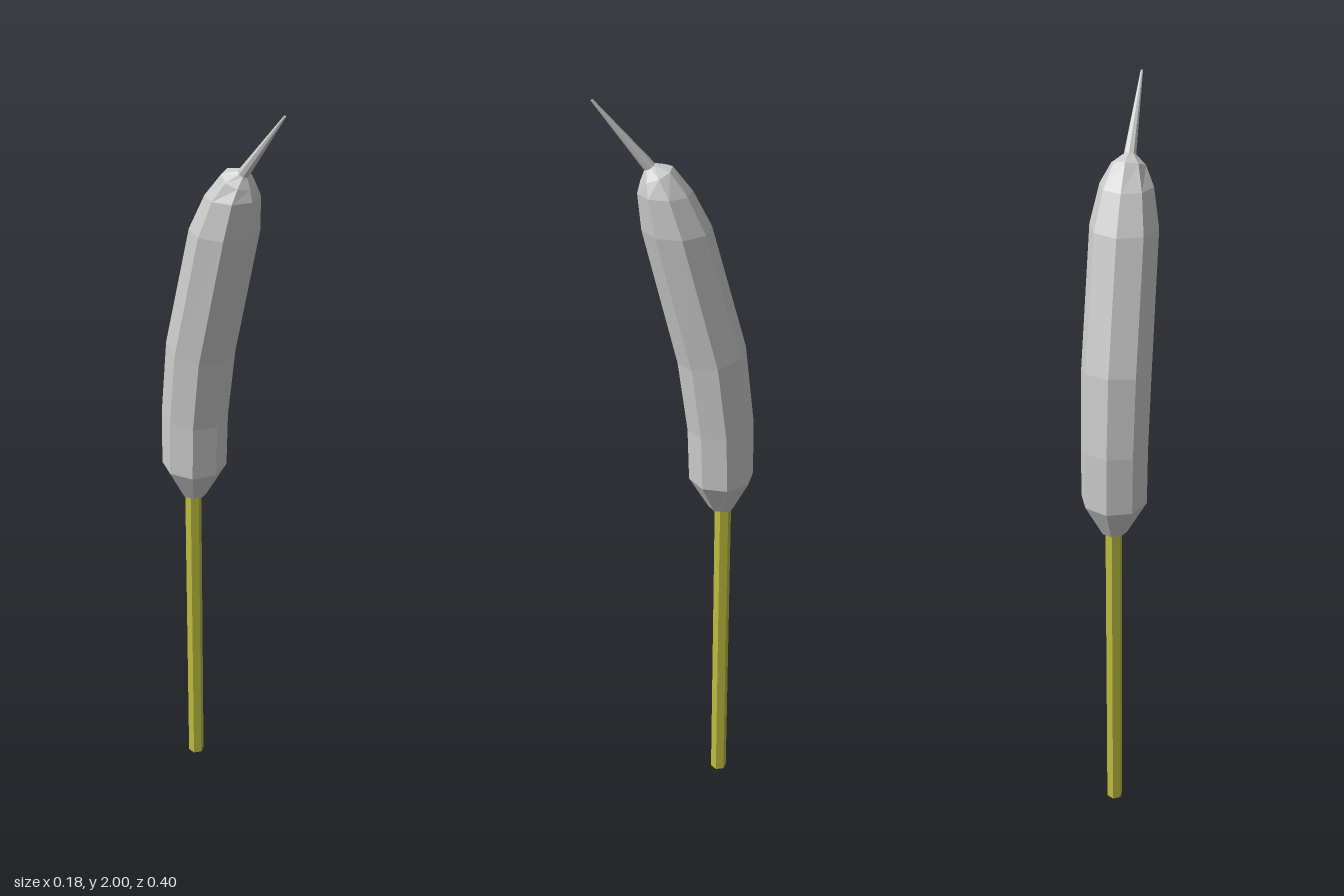
import * as THREE from 'three';

const SIDES = 8;

// Skin of flat facets through rings: [y, z, radius, tilt towards the front]
function loft(rings) {
  const pos = [];
  const point = ([y, z, r, tilt], i) => {
    const a = (i / SIDES) * Math.PI * 2;
    const d = r * Math.cos(a);
    return [r * Math.sin(a), y - d * Math.sin(tilt), z + d * Math.cos(tilt)];
  };
  const first = rings[0], last = rings[rings.length - 1];
  for (let i = 0; i < SIDES; i++) {
    for (let k = 0; k < rings.length - 1; k++) {
      const a = point(rings[k], i), b = point(rings[k], i + 1);
      const c = point(rings[k + 1], i + 1), d = point(rings[k + 1], i);
      pos.push(...a, ...b, ...c, ...a, ...c, ...d);
    }
    // End caps
    pos.push(0, first[0], first[1], ...point(first, i + 1), ...point(first, i));
    pos.push(0, last[0], last[1], ...point(last, i), ...point(last, i + 1));
  }
  const geometry = new THREE.BufferGeometry();
  geometry.setAttribute('position', new THREE.Float32BufferAttribute(pos, 3));
  geometry.computeVertexNormals();
  return geometry;
}

export function createModel() {
  const group = new THREE.Group();
  group.name = 'cattail';
  const grey = new THREE.MeshStandardMaterial({ color: 0xcccccc, flatShading: true });
  const olive = new THREE.MeshStandardMaterial({ color: 0xbdbd40, flatShading: true });

  // Straight six-sided stalk
  const stalk = new THREE.Mesh(new THREE.CylinderGeometry(0.022, 0.022, 0.9, 6), olive);
  stalk.name = 'stalk';
  stalk.position.set(0, 0.45, -0.121);
  group.add(stalk);

  // Seed head that bends forward as it rises
  const head = new THREE.Mesh(loft([
    [0.895, -0.117, 0.034, 0],
    [0.988, -0.115, 0.085, 0.02],
    [1.14, -0.111, 0.086, 0.08],
    [1.34, -0.086, 0.088, 0.19],
    [1.68, 0.002, 0.085, 0.0],
    [1.772, 0.03, 0.066, 0.0],
    [1.817, 0.05, 0.042, 0.4],
    [1.835, 0.066, 0.015, 0.55],
  ]), grey);
  head.name = 'seedHead';
  group.add(head);

  // Thin spike at the tip
  const spike = new THREE.Mesh(loft([
    [1.835, 0.066, 0.015, 0.55],
    [1.998, 0.196, 0.003, 0.65],
  ]), grey);
  spike.name = 'tipSpike';
  group.add(spike);

  return group;
}
